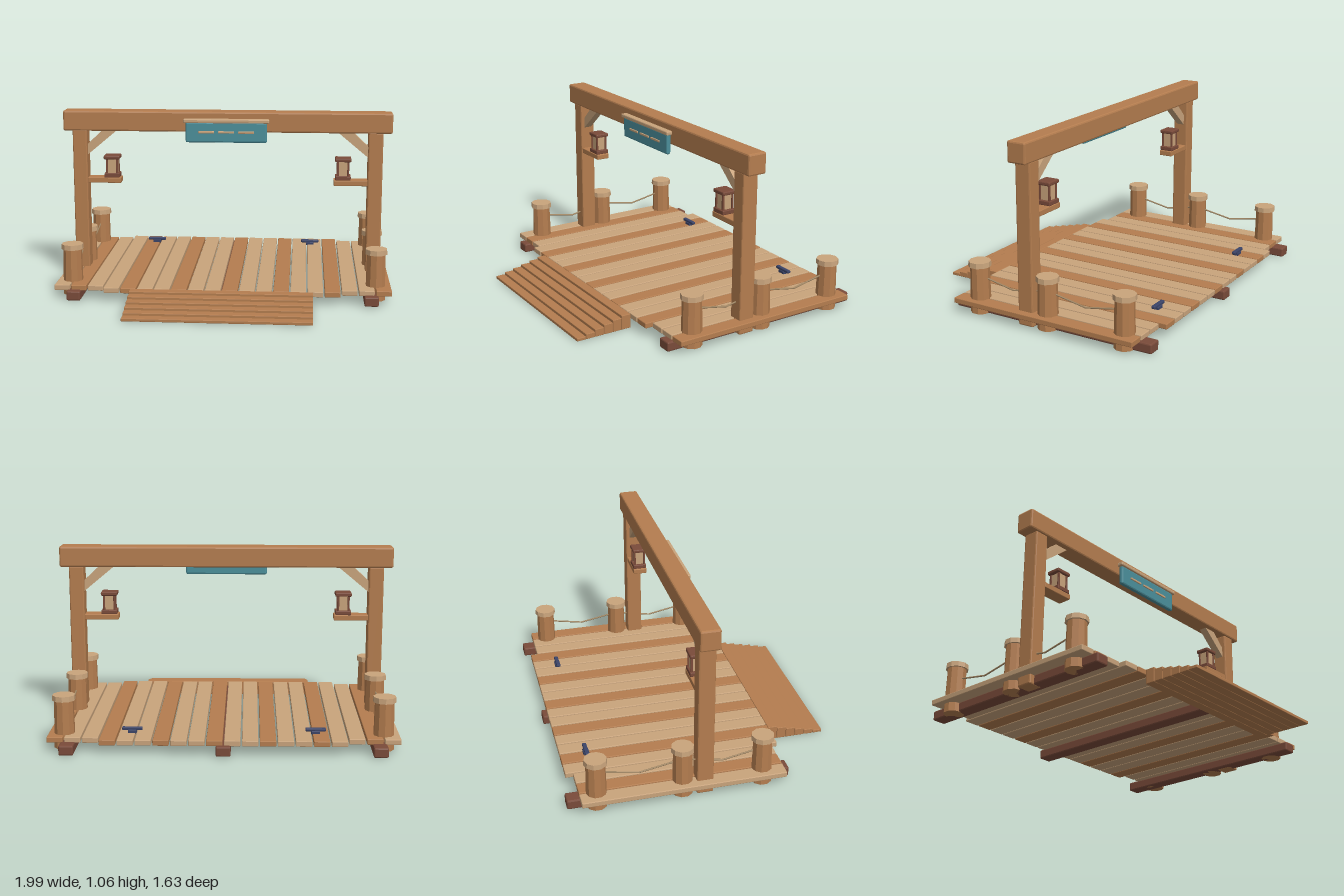
import * as THREE from 'three';
import { RoundedBoxGeometry } from 'three/addons/geometries/RoundedBoxGeometry.js';

export function createModel() {
  const root = new THREE.Group();
  root.name = 'dock';

  const material = (name, color) => {
    const m = new THREE.MeshStandardMaterial({ color });
    m.name = name;
    return m;
  };
  const wood = material('warm wood', 0xb47d4f);
  const pale = material('pale wood', 0xc9a47c);
  const dark = material('dark wood', 0x7a4b3a);
  const teal = material('teal paint', 0x4b8f9b);
  const iron = material('navy iron', 0x3b4468);
  const rope = material('rope', 0xa58a66);

  const add = (name, geometry, mat, x = 0, y = 0, z = 0) => {
    const mesh = new THREE.Mesh(geometry, mat);
    mesh.name = name;
    mesh.position.set(x, y, z);
    root.add(mesh);
    return mesh;
  };

  // Chamfered block given by its limits on each axis
  const block = (name, mat, [x0, x1], [y0, y1], [z0, z1], bevel = 0.004) => {
    const g = new RoundedBoxGeometry(x1 - x0, y1 - y0, z1 - z0, 1, bevel);
    g.computeVertexNormals();
    return add(name, g, mat, (x0 + x1) / 2, (y0 + y1) / 2, (z0 + z1) / 2);
  };
  const around = (c, size) => [c - size / 2, c + size / 2];

  // Faceted upright cylinder
  const drum = (name, mat, rTop, rBottom, x, [y0, y1], z) => {
    const g = new THREE.CylinderGeometry(rTop, rBottom, y1 - y0, 10).toNonIndexed();
    g.computeVertexNormals();
    return add(name, g, mat, x, (y0 + y1) / 2, z);
  };

  // Deck planks, three shorter ones on each side
  for (let i = 0; i < 20; i++) {
    const short = i < 3 || i > 16;
    block('deckPlank', i % 3 === 1 ? wood : pale, around(-0.9405 + i * 0.099, 0.09),
      [0.055, 0.087], short ? [-0.743, 0.43] : [-0.786, 0.47]);
  }

  // Joists under the deck
  for (const x of [-0.868, 0, 0.868]) {
    block('joist', dark, around(x, 0.082), [0.003, 0.06], [-0.815, 0.468], 0.008);
  }

  // Front steps
  for (let i = 0; i < 6; i++) {
    const z = 0.815 - i * 0.0575;
    block('step', wood, [-0.53, 0.53], [0, 0.018 + i * 0.0135], [z - 0.056, z], 0.003);
  }

  // Gate beam
  const gateZ = -0.037;
  block('gateBeam', wood, [-0.995, 0.995], [0.94, 1.063], around(gateZ, 0.116), 0.01);

  for (const side of [-1, 1]) {
    // Mooring posts and rope between them
    const postZ = [0.305, -0.159, -0.648];
    for (const z of postZ) {
      drum('mooringPost', wood, 0.055, 0.06, side * 0.897, [0.003, 0.28], z);
      drum('postCap', pale, 0.064, 0.066, side * 0.897, [0.278, 0.308], z);
    }
    for (let i = 0; i < 2; i++) {
      const point = (y, z) => new THREE.Vector3(side * 0.897, y, z);
      const sag = new THREE.QuadraticBezierCurve3(
        point(0.22, postZ[i]), point(0.13, (postZ[i] + postZ[i + 1]) / 2), point(0.22, postZ[i + 1]));
      add('rope', new THREE.TubeGeometry(sag, 2, 0.005, 6), rope);
    }

    // Gate post
    block('gatePost', wood, around(side * 0.897, 0.088), [0, 0.945], around(gateZ, 0.096), 0.008);

    // Diagonal brace
    const corners = [[0.853, 0.79], [0.853, 0.855], [0.76, 0.942], [0.67, 0.942]];
    const shape = new THREE.Shape(corners.map(([x, y]) => new THREE.Vector2(side * x, y)));
    add('brace', new THREE.ExtrudeGeometry(shape, { depth: 0.05, bevelEnabled: false }),
      pale, 0, 0, gateZ - 0.025);

    // Shelf and lantern
    const lx = side * 0.705;
    block('lanternShelf', wood, around(side * 0.752, 0.205), [0.617, 0.65], around(gateZ, 0.085));
    block('lanternBase', dark, around(lx, 0.094), [0.65, 0.676], around(gateZ, 0.085));
    block('lanternPane', pale, around(lx, 0.06), [0.67, 0.77], around(gateZ, 0.06), 0.002);
    block('lanternCap', dark, around(lx, 0.098), [0.763, 0.786], around(gateZ, 0.088), 0.006);
    for (const sx of [-1, 1]) {
      for (const sz of [-1, 1]) {
        block('lanternCorner', dark, around(lx + sx * 0.031, 0.012), [0.67, 0.767],
          around(gateZ + sz * 0.031, 0.012), 0.002);
      }
    }

    // Mooring cleat
    const cx = side * 0.516;
    block('cleatBase', iron, around(cx, 0.05), [0.083, 0.104], around(-0.636, 0.034));
    block('cleatHorn', iron, around(cx, 0.115), [0.1, 0.118], around(-0.636, 0.024), 0.005);
  }

  // Hanging sign with top rail and three dashes
  block('signBoard', teal, [-0.245, 0.245], [0.88, 1.005], [0.018, 0.046], 0.01);
  block('signRail', pale, [-0.258, 0.258], [0.999, 1.023], [0.012, 0.056], 0.006);
  for (const x of [-0.12, 0, 0.12]) {
    block('signDash', pale, around(x, 0.096), [0.937, 0.951], [0.045, 0.053], 0.003);
  }

  return root;
}
